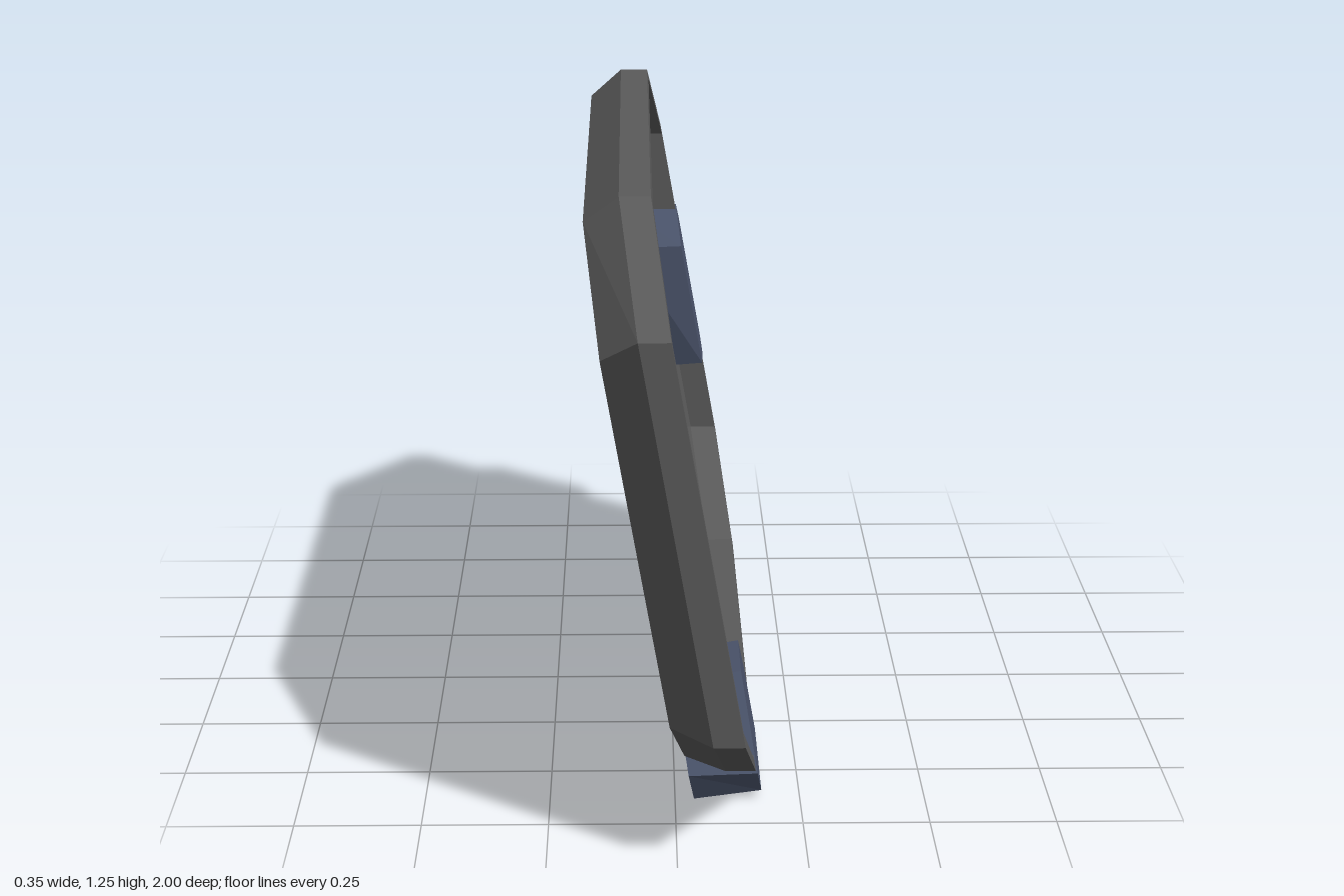
import * as THREE from 'three';

const SLOPE = 0.1763; // the whole panel leans back by ten degrees
const MID_Z = 0.025;

// Eight-sided outline [z, y], counter-clockwise as seen from +x
function octagon(halfZ, cornerZ, midY, halfY, cornerY) {
  return [
    [cornerZ, halfY], [halfZ, cornerY], [halfZ, -cornerY], [cornerZ, -halfY],
    [-cornerZ, -halfY], [-halfZ, -cornerY], [-halfZ, cornerY], [-cornerZ, halfY],
  ].map(([z, y]) => [z + MID_Z, y + midY]);
}

// Joins outlines placed at increasing depth towards +x, with optional end caps
function loft(rings, capBack, capFront) {
  const pos = [];
  const loops = rings.map(([outline, d]) => outline.map(([z, y]) => [d - SLOPE * y, y, z]));
  const tri = (a, b, c) => pos.push(...a, ...b, ...c);
  for (let k = 0; k + 1 < loops.length; k++) {
    const p = loops[k], q = loops[k + 1], n = p.length;
    for (let i = 0; i < n; i++) {
      const j = (i + 1) % n;
      tri(p[i], p[j], q[j]);
      tri(p[i], q[j], q[i]);
    }
  }
  const first = loops[0], last = loops[loops.length - 1];
  for (let i = 1; i + 1 < first.length; i++) {
    if (capBack) tri(first[0], first[i + 1], first[i]);
    if (capFront) tri(last[0], last[i], last[i + 1]);
  }
  const g = new THREE.BufferGeometry();
  g.setAttribute('position', new THREE.Float32BufferAttribute(pos, 3));
  g.computeVertexNormals();
  return g;
}

function material(name, color) {
  const m = new THREE.MeshStandardMaterial({ color, flatShading: true });
  m.name = name;
  return m;
}

export function createModel() {
  const group = new THREE.Group();
  group.name = 'wallScreen';
  const frameGrey = material('frame grey', 0x5a5a5a);
  const trimGrey = material('trim grey', 0x8f929e);
  const screenTeal = material('screen teal', 0x10d6ce);
  const clipBlue = material('clip blue grey', 0x4a536a);

  const add = (name, geometry, mat) => {
    const mesh = new THREE.Mesh(geometry, mat);
    mesh.name = name;
    group.add(mesh);
  };

  const back = octagon(0.915, 0.625, 0.645, 0.545, 0.357);
  const outer = octagon(0.975, 0.655, 0.6625, 0.5825, 0.39);
  const rim = octagon(0.945, 0.64, 0.6625, 0.5625, 0.373);
  const ledge = octagon(0.875, 0.602, 0.66, 0.52, 0.347);
  const opening = octagon(0.797, 0.53, 0.652, 0.474, 0.316);

  // Housing: chamfered back, straight sides, raised rim and recessed ledge
  add('frame', loft([
    [back, 0.036], [outer, 0.1135], [outer, 0.1735],
    [rim, 0.1735], [rim, 0.1135], [ledge, 0.1],
  ], true, false), frameGrey);

  // Sloping bezel and the small step down to the glass
  add('bezel', loft([[ledge, 0.1], [opening, 0.071], [opening, 0.061]], false, false), trimGrey);
  add('screen', loft([[opening, 0.061]], false, true), screenTeal);

  // Clip gripping the rear edge
  add('sideClip', loft([
    [[[-0.945, 0.855], [-0.735, 0.795], [-0.77, 0.49], [-0.945, 0.465], [-1, 0.5], [-1, 0.81]], 0.042],
    [[[-0.945, 0.855], [-0.735, 0.8], [-0.735, 0.51], [-0.945, 0.475], [-1, 0.505], [-1, 0.81]], 0.176],
  ], true, true), clipBlue);

  // Clip under the lower edge
  add('bottomClip', loft([
    [[[0.4, 0.22], [0.56, 0.22], [0.67, 0.065], [0.635, 0], [0.33, 0], [0.295, 0.18]], 0.038],
    [[[0.385, 0.24], [0.55, 0.24], [0.67, 0.07], [0.635, 0.018], [0.33, 0.018], [0.33, 0.16]], 0.176],
  ], true, true), clipBlue);

  return group;
}
